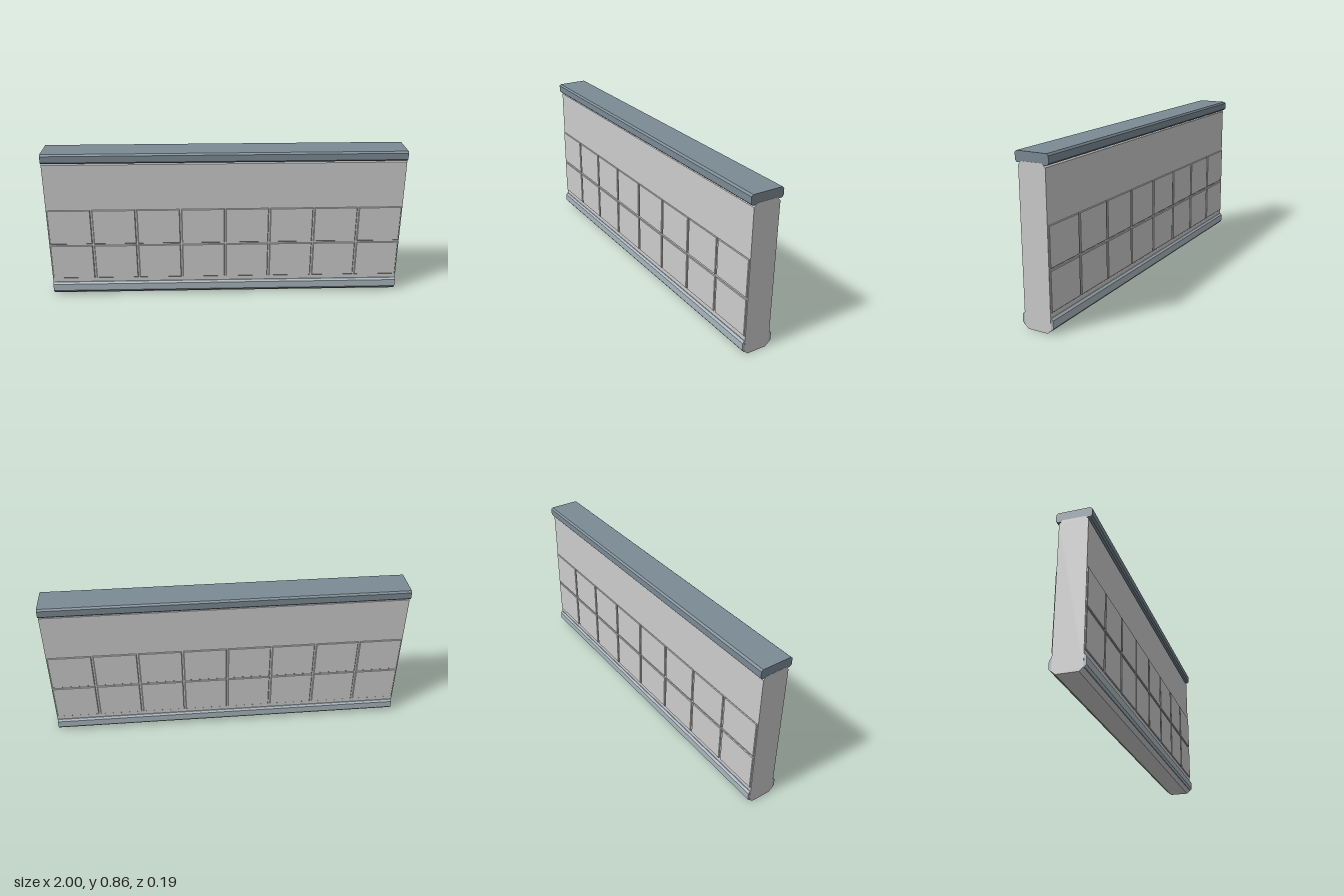
import * as THREE from 'three';

const GREY = 0xcccccc, SLATE = 0x7b8a94, PALE = 0xaab7be;

const material = (color) => new THREE.MeshStandardMaterial({ color, flatShading: true });

// Bar running along x; profile is the +z half of the section as [z, y], bottom to top
function bar(name, half, length, mat) {
  const left = half.map(([z, y]) => [-z, y]).reverse();
  const shape = new THREE.Shape([...half, ...left].map(([z, y]) => new THREE.Vector2(z, y)));
  const geometry = new THREE.ExtrudeGeometry(shape, { depth: length, bevelEnabled: false });
  geometry.translate(0, 0, -length / 2).rotateY(Math.PI / 2);
  const mesh = new THREE.Mesh(geometry, mat);
  mesh.name = name;
  return mesh;
}

// Thin slab with bevelled edges, starting at z = 0
function tileGeometry(w, h, depth, bevel) {
  const x = w / 2, y = h / 2;
  const shape = new THREE.Shape([[-x, -y], [x, -y], [x, y], [-x, y]].map((p) => new THREE.Vector2(...p)));
  return new THREE.ExtrudeGeometry(shape, {
    depth: depth - 2 * bevel, bevelThickness: bevel, bevelSize: bevel, bevelOffset: -bevel, bevelSegments: 1,
  }).translate(0, 0, bevel);
}

export function createModel() {
  const model = new THREE.Group();
  model.name = 'wallSection';
  const grey = material(GREY);

  // Main wall with chamfered top and foot
  model.add(bar('wallBody', [[0.055, 0], [0.075, 0.018], [0.075, 0.797], [0.058, 0.815]], 2, grey));

  // Skirting along the foot, both sides
  model.add(bar('skirting', [[0.074, 0.018], [0.079, 0.018], [0.088, 0.03], [0.088, 0.07], [0.079, 0.081], [0.074, 0.081]],
    1.998, material(PALE)));

  // Coping on top
  model.add(bar('coping', [[0.083, 0.808], [0.0925, 0.817], [0.0925, 0.853], [0.083, 0.862]], 1.998, material(SLATE)));

  // Two rows of eight tiles on each face
  const pitch = 0.25, gap = 0.01;
  const geometry = tileGeometry(pitch - gap, 0.207, 0.011, 0.003);
  for (const side of [1, -1]) {
    const face = new THREE.Group();
    face.name = side > 0 ? 'frontTiles' : 'backTiles';
    for (const y of [0.2105, 0.4275]) {
      for (let i = 0; i < 8; i++) {
        const tile = new THREE.Mesh(geometry, grey);
        tile.name = 'tile';
        tile.position.set((i - 3.5) * pitch, y, 0.07);
        face.add(tile);
      }
    }
    if (side < 0) face.rotation.y = Math.PI;
    model.add(face);
  }
  return model;
}
